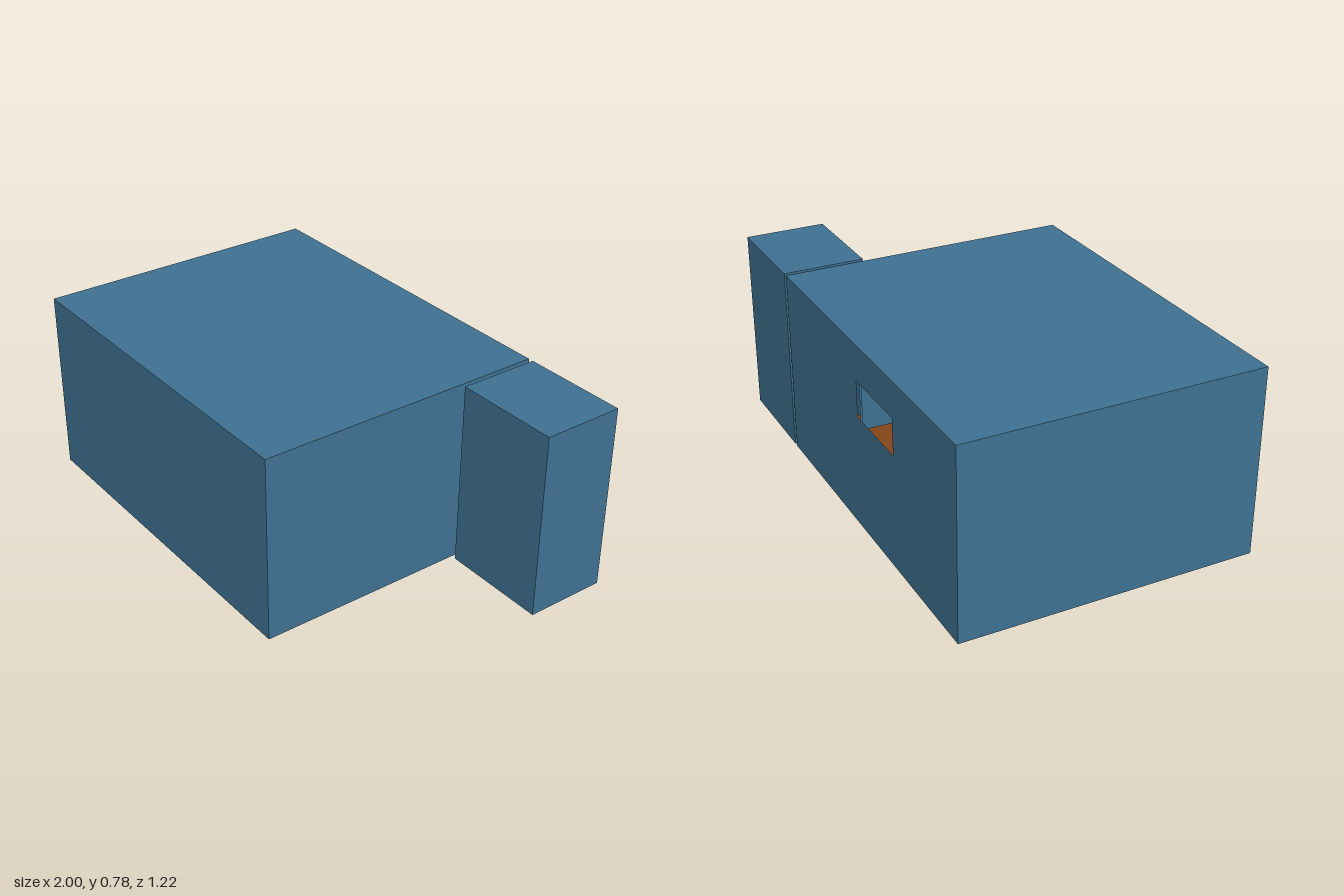
import * as THREE from 'three';

const wallMaterial = new THREE.MeshStandardMaterial({ color: 0x3f7292, side: THREE.DoubleSide });
const floorMaterial = new THREE.MeshStandardMaterial({ color: 0x84471a, side: THREE.DoubleSide });

const HEIGHT = 0.78;
const BACK = -0.61;
const door = { from: -0.57, to: -0.31, bottom: 0, top: 0.63 };
const backWindow = { from: -0.49, to: -0.17, bottom: 0.48, top: 0.63 };

function rectangle(path, a, b, c, d) {
  path.moveTo(a, c);
  path.lineTo(b, c);
  path.lineTo(b, d);
  path.lineTo(a, d);
  path.closePath();
  return path;
}

// Thin upright wall running from a to b, with an optional opening
function wallGeometry(a, b, opening) {
  const shape = new THREE.Shape();
  if (opening && opening.bottom === 0) {
    const { from, to, top } = opening;
    shape.setFromPoints([
      [a, 0], [from, 0], [from, top], [to, top], [to, 0], [b, 0], [b, HEIGHT], [a, HEIGHT],
    ].map(([u, v]) => new THREE.Vector2(u, v)));
  } else {
    rectangle(shape, a, b, 0, HEIGHT);
    if (opening) {
      const { from, to, bottom, top } = opening;
      shape.holes.push(rectangle(new THREE.Path(), from, to, bottom, top));
    }
  }
  return new THREE.ShapeGeometry(shape);
}

function add(group, name, geometry, material) {
  const mesh = new THREE.Mesh(geometry, material);
  mesh.name = name;
  group.add(mesh);
  return mesh;
}

// Horizontal sheet, facing up
function slab(group, name, x0, x1, z0, z1, y, material) {
  const geometry = new THREE.PlaneGeometry(x1 - x0, z1 - z0).rotateX(-Math.PI / 2);
  add(group, name, geometry, material).position.set((x0 + x1) / 2, y, (z0 + z1) / 2);
}

// Hollow room of four walls, floor and ceiling
function room(name, x0, x1, z0, z1, openings) {
  const group = new THREE.Group();
  group.name = name;
  add(group, 'frontWall', wallGeometry(x0, x1), wallMaterial).position.z = z1;
  // The back wall is turned by its winding so that it faces outwards
  const back = wallGeometry(-x1, -x0, openings.back && {
    ...openings.back, from: -openings.back.to, to: -openings.back.from,
  }).rotateY(Math.PI);
  add(group, 'backWall', back, wallMaterial).position.z = z0;
  const left = wallGeometry(-z1, -z0, openings.left && {
    ...openings.left, from: -openings.left.to, to: -openings.left.from,
  }).rotateY(Math.PI / 2);
  add(group, 'leftWall', left, wallMaterial).position.x = x1;
  const right = wallGeometry(z0, z1, openings.right).rotateY(-Math.PI / 2);
  add(group, 'rightWall', right, wallMaterial).position.x = x0;
  slab(group, 'ceiling', x0, x1, z0, z1, HEIGHT, wallMaterial);
  slab(group, 'floor', x0, x1, z0, z1, 0, floorMaterial);
  return group;
}

export function createModel() {
  const model = new THREE.Group();
  model.name = 'twoRooms';
  model.add(room('mainRoom', -1, 0.535, BACK, 0.61, { back: backWindow, left: door }));
  model.add(room('sideRoom', 0.555, 1, BACK, -0.27, { right: door }));
  // Floor strip joining the two doorways
  slab(model, 'threshold', 0.535, 0.555, door.from, door.to, 0, floorMaterial);
  return model;
}
